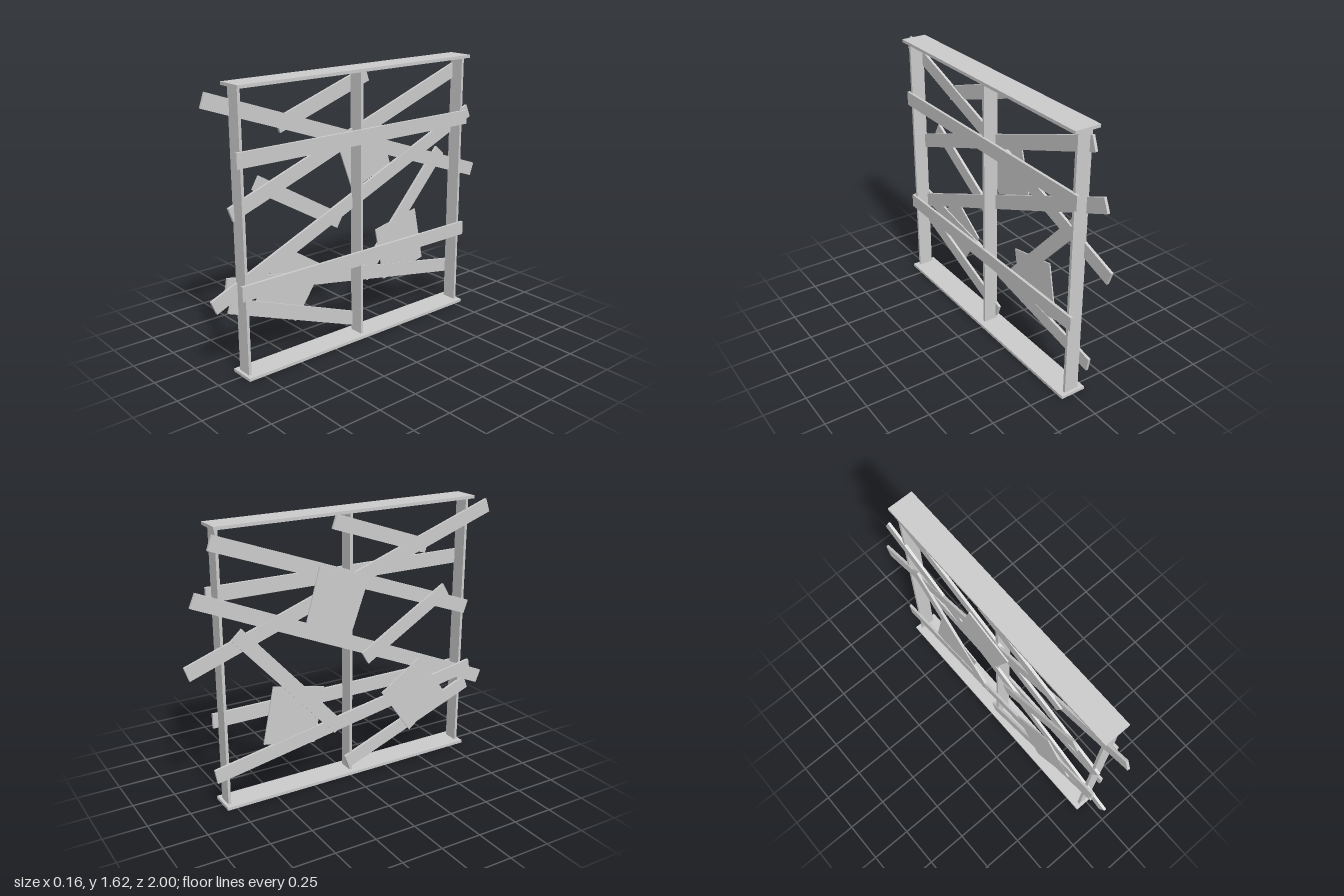
import * as THREE from 'three';

export function createModel() {
  const model = new THREE.Group();
  const material = new THREE.MeshStandardMaterial({ color: 0xcccccc, flatShading: true });

  const add = (name, geometry, x, y, z) => {
    const mesh = new THREE.Mesh(geometry, material);
    mesh.name = name;
    mesh.position.set(x, y, z);
    model.add(mesh);
    return mesh;
  };
  const box = (name, sx, sy, sz, x, y, z) => add(name, new THREE.BoxGeometry(sx, sy, sz), x, y, z);

  // Frame: bottom and top plates with three upright posts
  box('bottomPlate', 0.157, 0.018, 1.657, -0.002, 0.009, 0.021);
  box('topPlate', 0.157, 0.018, 1.657, -0.002, 1.613, 0.021);
  for (const z of [0.823, 0.021, -0.781]) box('post', 0.09, 1.588, 0.017, -0.002, 0.811, z);

  // Level rails on the +x face
  for (const y of [0.508, 1.235]) box('rail', 0.017, 0.086, 1.678, 0.047, y, 0.019);

  // Crooked planks on the -x face, from (z0, y0) to (z1, y1)
  const plank = (name, x, z0, y0, z1, y1) => {
    const length = Math.hypot(z1 - z0, y1 - y0);
    const mesh = box(name, 0.016, 0.085, length, x, (y0 + y1) / 2, (z0 + z1) / 2);
    mesh.rotation.x = -Math.atan2(y1 - y0, z1 - z0);
  };
  const inner = [
    [-0.046, 0.979, 1.547, -0.987, 0.852],
    [-0.041, 0.852, 0.925, -0.819, 1.535],
    [-0.043, 0.98, 0.433, -0.93, 1.247],
    [-0.045, 0.877, 0.416, -0.008, 0.078],
  ];
  const outer = [
    [-0.056, 0.527, 1.353, -0.094, 1.567],
    [-0.054, 0.682, 1.067, 0.112, 0.73],
    [-0.057, -0.7, 1.024, -0.07, 0.329],
    [-0.055, 0.89, 0.532, -0.858, 0.217],
  ];
  inner.forEach((p) => plank('innerPlank', ...p));
  outer.forEach((p) => plank('outerPlank', ...p));

  // Thin four-cornered patches, corners given as (z, y)
  const patch = (x, thickness, corners) => {
    const shape = new THREE.Shape(corners.map(([z, y]) => new THREE.Vector2(z, y)));
    const geometry = new THREE.ExtrudeGeometry(shape, { depth: thickness, bevelEnabled: false });
    geometry.rotateY(-Math.PI / 2);
    add('patch', geometry, x, 0, 0);
  };
  patch(-0.055, 0.008, [[0.13, 1.225], [0.01, 0.895], [-0.28, 1.01], [-0.19, 1.33]]);
  patch(-0.055, 0.009, [[0.7, 0.393], [0.438, 0.19], [0.23, 0.484], [0.497, 0.66]]);
  patch(-0.05, 0.008, [[-0.166, 0.612], [-0.492, 0.679], [-0.561, 0.34], [-0.235, 0.275]]);

  return model;
}
